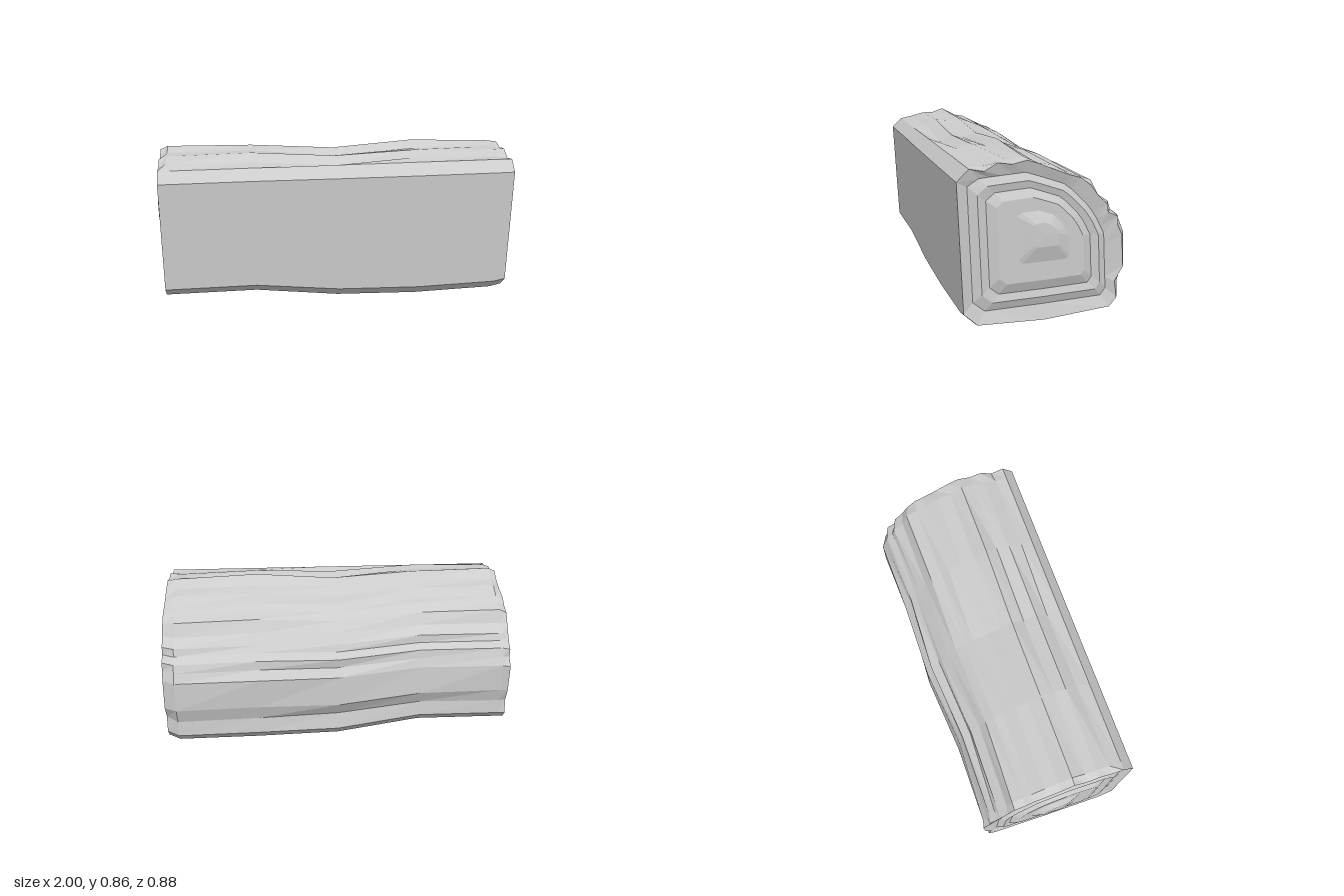
import * as THREE from 'three';

// Bark cross-section as [z, y]: up the flat front, over the ridged back, along the underside
const BARK = [
  [0.41, 0.08], [0.44, 0.75], [0.38, 0.81], [0.31, 0.815], [0.24, 0.845], [0.17, 0.835],
  [0.10, 0.86], [0.03, 0.825], [-0.05, 0.80], [-0.13, 0.77], [-0.18, 0.745], [-0.24, 0.715],
  [-0.28, 0.65], [-0.33, 0.60], [-0.345, 0.56], [-0.39, 0.53], [-0.395, 0.48], [-0.425, 0.43],
  [-0.425, 0.26], [-0.39, 0.18], [-0.40, 0.09], [-0.36, 0.045], [0, 0.01], [0.34, 0.015],
];
// Smoother outline of the sawn wood, matched point for point with the bark
const WOOD = [
  [0.36, 0.13], [0.385, 0.72], [0.33, 0.77], [0.28, 0.775], [0.22, 0.78], [0.16, 0.785],
  [0.10, 0.79], [0.04, 0.77], [-0.03, 0.745], [-0.10, 0.72], [-0.14, 0.69], [-0.19, 0.64],
  [-0.23, 0.60], [-0.26, 0.56], [-0.285, 0.52], [-0.305, 0.48], [-0.325, 0.44], [-0.33, 0.38],
  [-0.335, 0.28], [-0.34, 0.20], [-0.345, 0.145], [-0.315, 0.105], [0, 0.09], [0.30, 0.08],
];
// Stations along the log: x, lift of underside, lift of top, shift of back
const STATIONS = [
  [-0.96, 0.07, -0.01, 0.035], [-0.92, 0.07, 0.012, 0.04], [-0.46, 0.07, 0.012, 0.045],
  [0, 0.015, -0.025, 0.005], [0.45, 0, 0, 0.01], [0.9, 0.01, -0.01, -0.015], [0.965, 0.025, -0.015, 0.02],
];
// Growth rings on each end: |x|, z min, z max, y min, y max
const RINGS = [
  [0.945, -0.345, 0.385, 0.08, 0.79],
  [0.962, -0.305, 0.34, 0.125, 0.75],
  [0.953, -0.26, 0.297, 0.165, 0.71],
  [0.975, -0.21, 0.25, 0.22, 0.665],
  [0.975, -0.125, 0.15, 0.32, 0.595],
  [0.998, -0.06, 0.07, 0.405, 0.535],
  [1.0, 0, 0, 0.47, 0.47],
];

// Bends one outline to the shape of the log at a station
function section(outline, x, [, lift, top, back]) {
  return outline.map(([z, y]) => {
    const low = Math.max(0, 1 - y / 0.8);
    const high = z < 0.35 ? Math.max(0, (y - 0.4) / 0.45) : 0;
    return [x, y + lift * low + top * high, z + back * Math.max(0, -z / 0.42)];
  });
}

// Skins a series of matching loops that runs towards +x
function loft(name, loops, material) {
  const n = loops[0].length, index = [];
  for (let s = 0; s < loops.length - 1; s++) {
    for (let i = 0; i < n; i++) {
      const j = (i + 1) % n, a = s * n, b = a + n;
      index.push(a + i, b + i, b + j, a + i, b + j, a + j);
    }
  }
  const indexed = new THREE.BufferGeometry();
  indexed.setAttribute('position', new THREE.Float32BufferAttribute(loops.flat(2), 3));
  indexed.setIndex(index);
  const geometry = indexed.toNonIndexed();
  geometry.computeVertexNormals();
  const mesh = new THREE.Mesh(geometry, material);
  mesh.name = name;
  return mesh;
}

export function createModel() {
  const group = new THREE.Group();
  group.name = 'splitLog';
  const material = new THREE.MeshStandardMaterial({ color: 0xcccccc, flatShading: true });

  // Bark; the ridges wander a little from station to station
  const barkLoops = STATIONS.map((station, s) => {
    const outline = BARK.map(([z, y], i) => {
      const wobble = i > 2 && i < 20 ? 0.007 * Math.sin(i * 2.3 + s * 1.7) : 0;
      const length = Math.hypot(z, y - 0.4);
      return [z + wobble * z / length, y + wobble * (y - 0.4) / length];
    });
    return section(outline, station[0], station);
  });
  group.add(loft('bark', barkLoops, material));

  // Sawn ends with stepped growth rings and a raised heart
  for (const side of [-1, 1]) {
    const last = side < 0 ? 0 : STATIONS.length - 1;
    const rings = RINGS.map(([x, z0, z1, y0, y1]) => {
      const outline = WOOD.map(([z, y]) => [
        z0 + (z1 - z0) * (z + 0.345) / 0.73,
        y0 + (y1 - y0) * (y - 0.08) / 0.71,
      ]);
      return section(outline, side * x, STATIONS[last]);
    });
    const loops = [barkLoops[last], ...rings];
    if (side < 0) loops.reverse();
    group.add(loft(side < 0 ? 'rightEnd' : 'leftEnd', loops, material));
  }
  return group;
}
